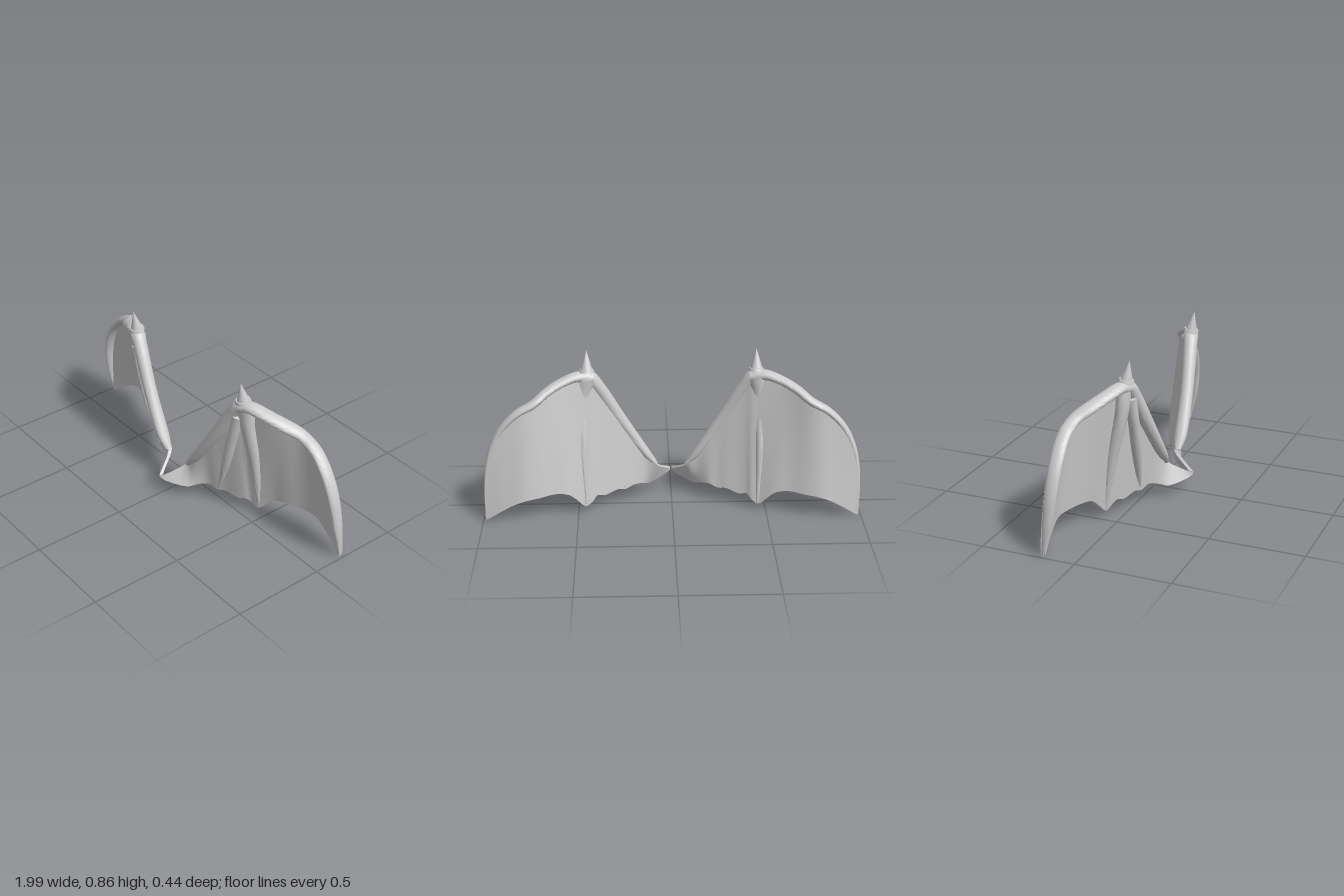
import * as THREE from 'three';
import { toCreasedNormals } from 'three/addons/utils/BufferGeometryUtils.js';

const V = (x, y, z) => new THREE.Vector3(x, y, z);
const material = new THREE.MeshStandardMaterial({ color: 0xcccccc, side: THREE.DoubleSide });

// Joins a row of closed rings into a capped skin
function skin(rings) {
  const n = rings[0].length, pos = [], index = [];
  rings.forEach(r => r.forEach(p => pos.push(p.x, p.y, p.z)));
  for (let i = 0; i < rings.length - 1; i++) {
    for (let j = 0; j < n; j++) {
      const a = i * n + j, b = i * n + (j + 1) % n;
      index.push(a, b, a + n, b, b + n, a + n);
    }
  }
  const last = (rings.length - 1) * n;
  for (let j = 1; j < n - 1; j++) {
    index.push(0, j + 1, j, last, last + j, last + j + 1);
  }
  const geo = new THREE.BufferGeometry();
  geo.setAttribute('position', new THREE.Float32BufferAttribute(pos, 3));
  geo.setIndex(index);
  return geo;
}

// Tapered limb; each point is [x, y, z, half width, half depth]
function limb(points, steps) {
  const path = new THREE.CatmullRomCurve3(points.map(p => V(p[0], p[1], p[2])));
  const size = new THREE.CatmullRomCurve3(points.map(p => V(p[3], p[4], 0)), false, 'catmullrom');
  const rings = [];
  for (let i = 0; i <= steps; i++) {
    const u = i / steps, c = path.getPoint(u), t = path.getTangent(u), s = size.getPoint(u);
    const n = V(-t.y, t.x, 0).normalize(), b = t.clone().cross(n);
    rings.push(Array.from({ length: 20 }, (_, j) => {
      const a = j / 20 * Math.PI * 2;
      return c.clone().addScaledVector(n, Math.cos(a) * s.x).addScaledVector(b, Math.sin(a) * s.y);
    }));
  }
  return skin(rings);
}

// Thin web lofted over ribs; each rib is [top x, y, z, bottom x, y, z]
function web(ribs, perRib, rows, half) {
  const top = new THREE.CatmullRomCurve3(ribs.map(r => V(r[0], r[1], r[2])));
  const low = new THREE.CatmullRomCurve3(ribs.map(r => V(r[3], r[4], r[5])));
  const steps = (ribs.length - 1) * perRib, rings = [];
  for (let i = 0; i <= steps; i++) {
    const a = top.getPoint(i / steps), b = low.getPoint(i / steps), ring = [];
    for (let j = 0; j <= rows; j++) ring.push(a.clone().lerp(b, j / rows).add(V(0, 0, half)));
    for (let j = rows; j >= 0; j--) ring.push(a.clone().lerp(b, j / rows).add(V(0, 0, -half)));
    rings.push(ring);
  }
  return skin(rings);
}

// Claw parts lean slightly and sit on the wing joint
function onJoint(geo, y) {
  return geo.translate(0, y, 0).rotateX(0.17).translate(0.445, 0.755, 0.036);
}

function wingParts() {
  return {
    membrane: web([
      [.005, .115, .215, .005, .105, .213],
      [.035, .14, .165, .03, .09, .195],
      [.08, .19, .095, .12, .07, .12],
      [.13, .26, .09, .15, .085, .085],
      [.19, .36, .08, .20, .10, .04],
      [.25, .46, .07, .25, .082, .02],
      [.30, .545, .06, .29, .09, 0],
      [.35, .63, .05, .36, .07, -.03],
      [.39, .69, .04, .40, .08, -.05],
      [.42, .735, .03, .42, .06, -.07],
      [.45, .745, .02, .455, .035, -.085],
      [.48, .745, .01, .475, .045, -.095],
      [.53, .735, -.01, .51, .085, -.11],
      [.59, .715, -.04, .55, .12, -.125],
      [.65, .685, -.08, .62, .135, -.145],
      [.71, .645, -.12, .70, .13, -.18],
      [.77, .61, -.14, .78, .12, -.20],
      [.85, .555, -.145, .85, .09, -.195],
      [.92, .46, -.15, .90, .06, -.19],
      [.965, .34, -.155, .93, .04, -.185],
      [.985, .18, -.165, .96, .02, -.18],
      [.988, .03, -.175, .984, .006, -.176],
    ], 3, 12, 0.012),
    upperArm: limb([
      [.085, .19, .10, .012, .018], [.14, .26, .098, .024, .035],
      [.28, .475, .078, .034, .036], [.385, .655, .052, .036, .038],
      [.435, .72, .038, .036, .04], [.48, .722, .022, .03, .038],
    ], 36),
    foreArm: limb([
      [.42, .715, .038, .034, .04], [.49, .728, .02, .028, .04],
      [.57, .71, -.012, .024, .04], [.65, .675, -.06, .023, .04],
      [.72, .63, -.115, .022, .036], [.81, .58, -.13, .02, .036],
      [.90, .48, -.13, .019, .036], [.955, .35, -.135, .018, .034],
      [.98, .18, -.15, .013, .026], [.985, .002, -.175, .002, .004],
    ], 60),
    mainFinger: limb([
      [.455, .72, .025, .055, .04], [.468, .60, .02, .04, .035],
      [.47, .35, -.035, .027, .03], [.458, .04, -.088, .01, .014],
    ], 30),
    innerFinger: limb([
      [.425, .66, .045, .03, .035], [.39, .52, .05, .026, .03],
      [.33, .32, .04, .022, .028], [.25, .087, .018, .006, .012],
    ], 30),
    clawCollar: onJoint(new THREE.CylinderGeometry(.037, .042, .016, 28), 0),
    claw: onJoint(new THREE.ConeGeometry(.033, .11, 28), .056),
  };
}

function mirrored(geo) {
  const copy = geo.clone().scale(-1, 1, 1), a = copy.index.array;
  for (let i = 0; i < a.length; i += 3) [a[i], a[i + 1]] = [a[i + 1], a[i]];
  return copy;
}

export function createModel() {
  const model = new THREE.Group();
  model.name = 'wings';
  const left = new THREE.Group(), right = new THREE.Group();
  left.name = 'leftWing';
  right.name = 'rightWing';
  for (const [name, geo] of Object.entries(wingParts())) {
    for (const [wing, g] of [[left, geo], [right, mirrored(geo)]]) {
      const mesh = new THREE.Mesh(toCreasedNormals(g, 0.8), material);
      mesh.name = name;
      wing.add(mesh);
    }
  }
  model.add(left, right);
  return model;
}
